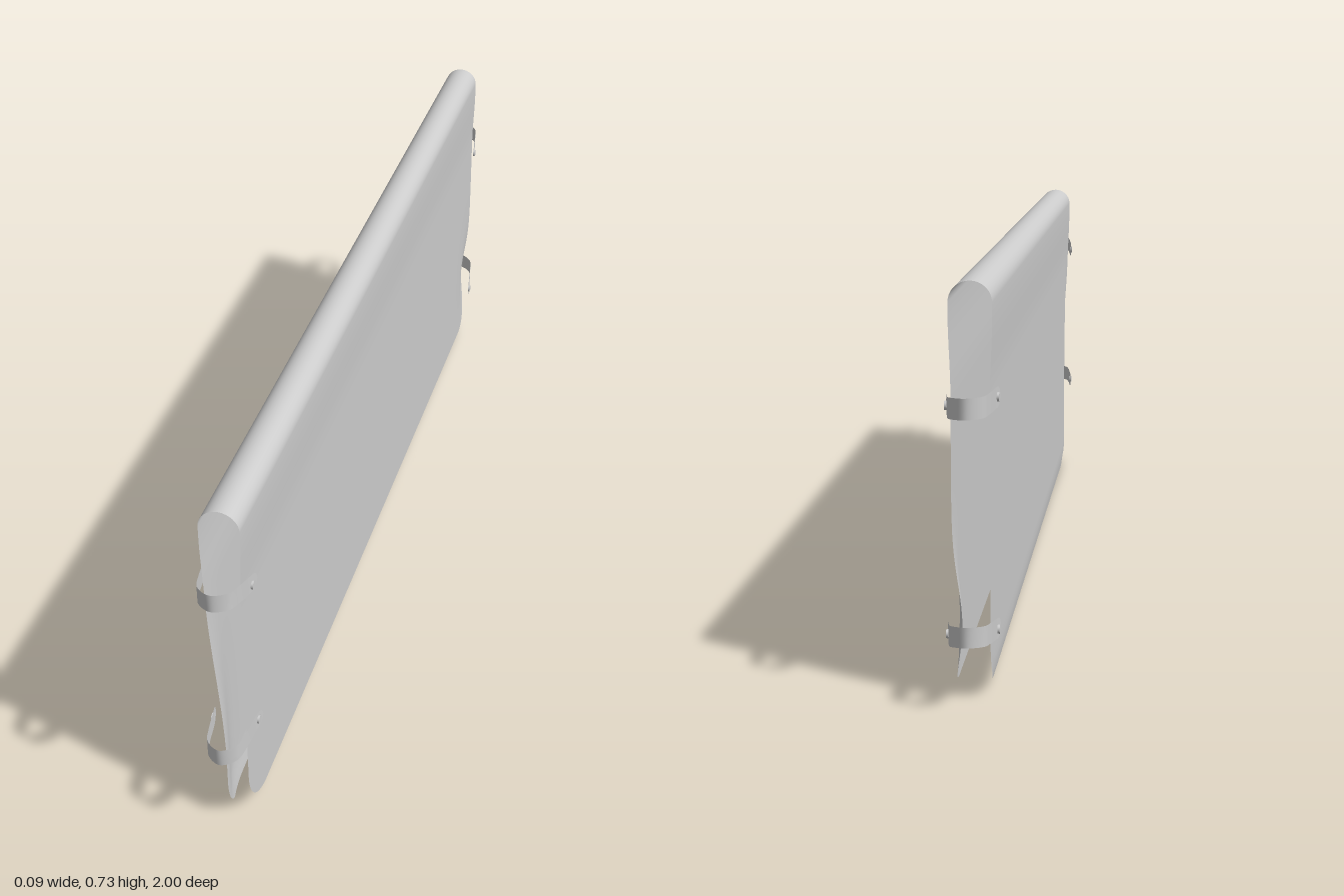
import * as THREE from 'three';
import { ParametricGeometry } from 'three/addons/geometries/ParametricGeometry.js';

const TOP_Y = 0.692;    // where the rounded fold meets the hanging panels
const CORNER = 0.1;     // radius of the lower corners
const material = new THREE.MeshStandardMaterial({ color: 0xcccccc, side: THREE.DoubleSide });

// Height of the lower hem, with rounded corners
function hem(side, z, end) {
  const slope = (z + 0.85) / 1.7;
  const base = side < 0 ? 0.015 * (1 - slope) : 0.015 + 0.012 * slope;
  const into = Math.max(0, CORNER - (end - Math.abs(z)));
  return base + CORNER - Math.sqrt(Math.max(0, CORNER * CORNER - into * into));
}

// One sheet folded over the top, its two panels hanging down
function clothPoint(u, v, target) {
  const s = Math.sin((u - 0.5) * Math.PI);
  const end = s > 0 ? 0.937 : 0.926;
  const z = s * end;
  const w = 2 * v - 1, side = w < 0 ? -1 : 1, t = Math.abs(w);
  let x, y;
  if (t <= 0.2) {
    const a = (t / 0.2) * Math.PI / 2;
    x = 0.037 * Math.sin(a);
    y = TOP_Y + 0.036 * Math.cos(a);
  } else {
    y = THREE.MathUtils.lerp(TOP_Y, hem(side, z, end), (t - 0.2) / 0.8);
    x = 0.033 + 0.004 * THREE.MathUtils.smoothstep(y, 0.54, 0.67);
    // the straps draw one end of each panel inwards
    const reach = Math.exp(-(((end - Math.abs(z)) / 0.06) ** 2));
    if (side < 0 && z > 0) x -= 0.025 * reach * (1 - THREE.MathUtils.smoothstep(y, 0.15, 0.58));
    if (side > 0 && z < 0) x -= 0.018 * reach * Math.exp(-(((y - 0.14) / 0.1) ** 2));
    // slight inward curl along the hem
    if (side < 0) x -= 0.007 * (1 - THREE.MathUtils.smoothstep(y, 0, 0.05));
  }
  const spread = 1 + 0.009 * (1 - y / 0.73);
  target.set(side * x, y, z * spread);
}

// U-shaped band around one end, with rounded tips and a rivet on each side
function makeStrap(name, end, yLeft, yTip, yRight) {
  const strap = new THREE.Group();
  strap.name = name;
  const half = [[0.046, 0.886, 0], [0.041, 0.915, 0.2], [0.036, 0.95, 0.55], [0.027, 0.983, 0.85]];
  const place = (side, y) => ([x, z, k]) =>
    new THREE.Vector3(side * x, THREE.MathUtils.lerp(y, yTip, k), end * z);
  const curve = new THREE.CatmullRomCurve3([
    ...half.map(place(-1, yRight)),
    new THREE.Vector3(0, yTip, end),
    ...half.map(place(1, yLeft)).reverse(),
  ]);
  const length = curve.getLength(), width = 0.018;
  const bandPoint = (u, v, target) => {
    const tangent = curve.getTangentAt(u);
    const across = new THREE.Vector3(0, 1, 0).addScaledVector(tangent, -tangent.y).normalize();
    const near = Math.min(1, Math.min(u, 1 - u) * length / width);
    const w = width * Math.sqrt(Math.max(0.02, 1 - (1 - near) ** 2));
    target.copy(curve.getPointAt(u)).addScaledVector(across, (2 * v - 1) * w);
  };
  const geometry = new ParametricGeometry(bandPoint, 72, 2);
  geometry.computeVertexNormals();
  const band = new THREE.Mesh(geometry, material);
  band.name = 'strapBand';
  strap.add(band);

  for (const [side, y] of [[-1, yRight], [1, yLeft]]) {
    const rivet = new THREE.Mesh(new THREE.CylinderGeometry(0.008, 0.008, 0.004, 16), material);
    rivet.name = 'rivet';
    rivet.rotation.z = Math.PI / 2;
    rivet.position.set(side * 0.0445, y, end * 0.904);
    strap.add(rivet);
  }
  return strap;
}

export function createModel() {
  const model = new THREE.Group();
  model.name = 'foldedCover';

  const geometry = new ParametricGeometry(clothPoint, 90, 80);
  geometry.computeVertexNormals();
  const cloth = new THREE.Mesh(geometry, material);
  cloth.name = 'cloth';
  model.add(cloth);

  model.add(
    makeStrap('frontUpperStrap', 1, 0.555, 0.582, 0.572),
    makeStrap('frontLowerStrap', 1, 0.238, 0.222, 0.221),
    makeStrap('backUpperStrap', -1, 0.514, 0.527, 0.53),
    makeStrap('backLowerStrap', -1, 0.113, 0.139, 0.124),
  );
  return model;
}
